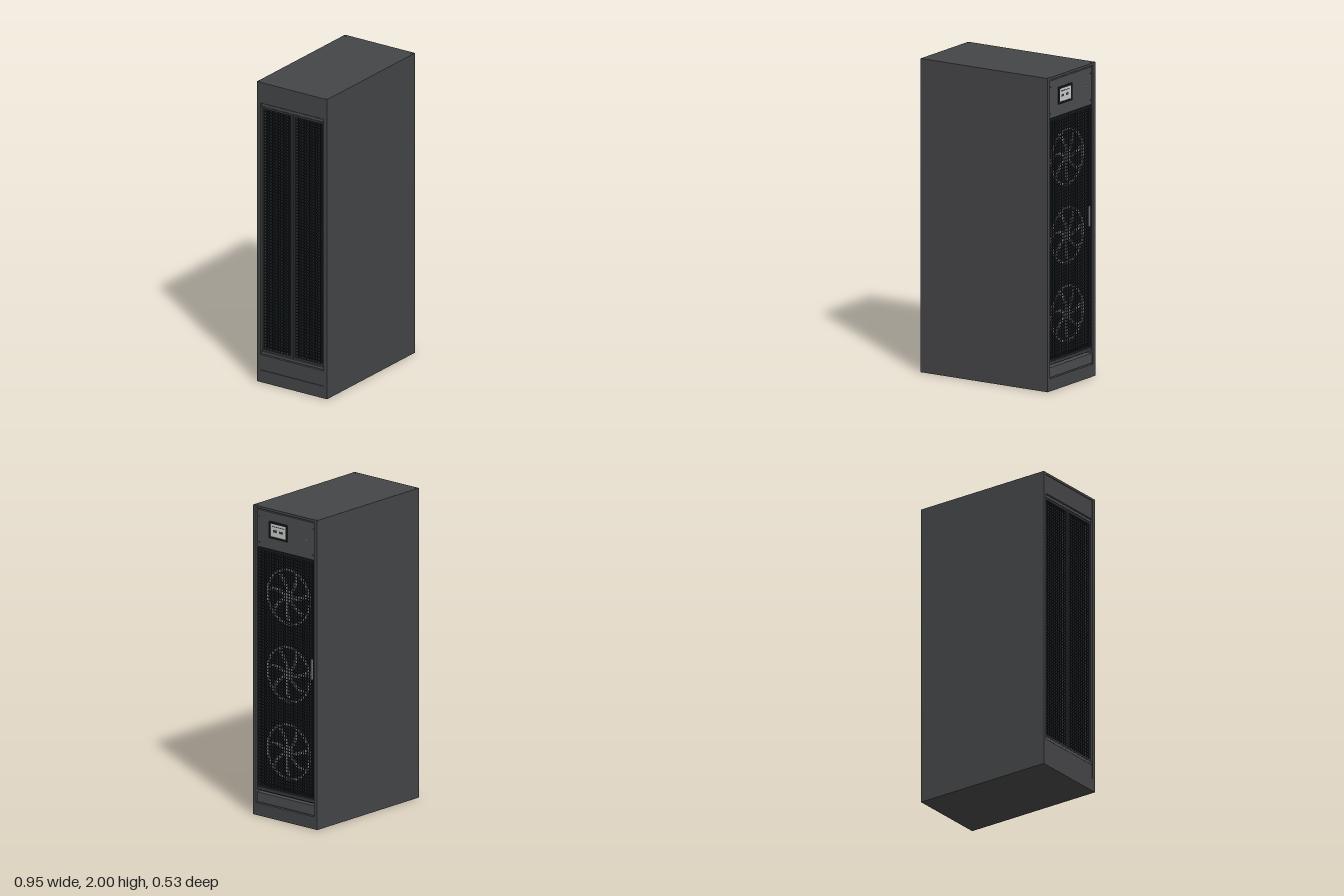
import * as THREE from 'three';
import { mergeGeometries } from 'three/addons/utils/BufferGeometryUtils.js';

const mat = (color) => new THREE.MeshStandardMaterial({ color });
const shell = mat(0x444547), panelGrey = mat(0x4b4d4f), trim = mat(0x36393b), dark = mat(0x1b2023);
const fanGrey = mat(0x85898c), bezelBlack = mat(0x14171a), screenWhite = mat(0xd4d7d8), metal = mat(0x9a9c9e);

function add(parent, name, geometry, material, x = 0, y = 0, z = 0) {
  const mesh = new THREE.Mesh(geometry, material);
  mesh.name = name;
  mesh.position.set(x, y, z);
  parent.add(mesh);
  return mesh;
}

// Box given by its limits on each axis
function block(parent, name, material, x0, x1, y0, y1, z0, z1) {
  return add(parent, name, new THREE.BoxGeometry(x1 - x0, y1 - y0, z1 - z0), material,
    (x0 + x1) / 2, (y0 + y1) / 2, (z0 + z1) / 2);
}

// Perforated sheet made of crossing bars
function grille(parent, name, x0, x1, y0, y1, z, pitch = 0.02, bar = 0.005) {
  const bars = [];
  const nx = Math.round((x1 - x0) / pitch), ny = Math.round((y1 - y0) / pitch);
  for (let i = 0; i <= nx; i++) {
    bars.push(new THREE.BoxGeometry(bar, y1 - y0, 0.003)
      .translate(x0 + (x1 - x0) * i / nx, (y0 + y1) / 2, z));
  }
  for (let j = 0; j <= ny; j++) {
    bars.push(new THREE.BoxGeometry(x1 - x0, bar, 0.003)
      .translate((x0 + x1) / 2, y0 + (y1 - y0) * j / ny, z));
  }
  add(parent, name, mergeGeometries(bars), dark);
}

// Rectangular frame of four bars
function frame(parent, name, material, x0, x1, y0, y1, z0, z1, w) {
  const shape = new THREE.Shape([[x0, y0], [x1, y0], [x1, y1], [x0, y1]].map((p) => new THREE.Vector2(...p)));
  shape.holes.push(new THREE.Path([[x0 + w, y0 + w], [x0 + w, y1 - w], [x1 - w, y1 - w], [x1 - w, y0 + w]]
    .map((p) => new THREE.Vector2(...p))));
  add(parent, name, new THREE.ExtrudeGeometry(shape, { depth: z1 - z0, bevelEnabled: false }), material, 0, 0, z0);
}

function createFan() {
  const fan = new THREE.Group();
  fan.name = 'fan';
  const ring = new THREE.Shape().absarc(0, 0, 0.183, 0, Math.PI * 2);
  ring.holes.push(new THREE.Path().absarc(0, 0, 0.166, 0, Math.PI * 2, true));
  add(fan, 'fanRing', new THREE.ExtrudeGeometry(ring, { depth: 0.008, bevelEnabled: false, curveSegments: 32 }), fanGrey);
  add(fan, 'fanHub', new THREE.CylinderGeometry(0.036, 0.038, 0.014, 32).rotateX(Math.PI / 2), fanGrey, 0, 0, 0.003);

  // Swept blade, wider at the tip
  const blade = new THREE.Shape();
  blade.moveTo(0.03, -0.01);
  blade.quadraticCurveTo(0.10, -0.008, 0.148, 0.024);
  blade.lineTo(0.152, 0.062);
  blade.quadraticCurveTo(0.10, 0.022, 0.03, 0.012);
  const bladeGeometry = new THREE.ExtrudeGeometry(blade, { depth: 0.004, bevelEnabled: false });
  for (let i = 0; i < 7; i++) {
    add(fan, 'fanBlade', bladeGeometry, fanGrey, 0, 0, 0.002).rotation.z = -0.04 + i * Math.PI * 2 / 7;
  }
  return fan;
}

// Fan end, built facing +z
function createFanEnd() {
  const end = new THREE.Group();
  end.name = 'fanEnd';
  block(end, 'fanBulkhead', dark, -0.24, 0.24, 0.08, 1.985, 0.42, 0.43);

  // Control panel with display, screws and lock
  block(end, 'controlPanel', panelGrey, -0.235, 0.235, 1.735, 1.975, 0.43, 0.467);
  frame(end, 'displayBezel', bezelBlack, -0.14, 0.012, 1.808, 1.918, 0.465, 0.473, 0.013);
  block(end, 'displayScreen', screenWhite, -0.127, -0.001, 1.821, 1.905, 0.465, 0.47);
  block(end, 'displayLine', trim, -0.112, -0.016, 1.885, 1.89, 0.47, 0.471);
  for (const x of [-0.092, -0.042]) {
    block(end, 'displayButton', trim, x - 0.014, x + 0.014, 1.851, 1.866, 0.47, 0.471);
  }
  const screw = new THREE.CylinderGeometry(0.005, 0.005, 0.003, 12).rotateX(Math.PI / 2);
  for (const x of [-0.222, 0.222]) {
    for (const y of [1.765, 1.935]) add(end, 'panelScrew', screw, trim, x, y, 0.468);
  }
  add(end, 'panelLock', screw, metal, 0.175, 1.86, 0.468);

  // Fans behind the perforated door
  for (const y of [0.445, 0.945, 1.445]) {
    const fan = createFan();
    fan.position.set(0, y, 0.438);
    end.add(fan);
  }
  frame(end, 'doorFrame', dark, -0.238, 0.238, 0.185, 1.73, 0.43, 0.464, 0.012);
  grille(end, 'doorMesh', -0.226, 0.226, 0.197, 1.718, 0.459);
  block(end, 'doorHandle', metal, 0.208, 0.217, 0.96, 1.09, 0.458, 0.472);

  // Lower rail and kick panel
  block(end, 'lowerRail', trim, -0.235, 0.235, 0.165, 0.185, 0.43, 0.467);
  block(end, 'kickPanel', panelGrey, -0.237, 0.237, 0.085, 0.148, 0.43, 0.467);
  return end;
}

// Double-door end, built facing +z
function createDoorEnd() {
  const end = new THREE.Group();
  end.name = 'doorEnd';
  block(end, 'doorBulkhead', dark, -0.24, 0.24, 0.08, 1.985, 0.42, 0.43);
  block(end, 'topPanel', shell, -0.24, 0.24, 1.86, 1.985, 0.43, 0.47);
  block(end, 'bottomPanel', shell, -0.24, 0.24, 0.08, 0.18, 0.43, 0.47);
  for (const y of [0.185, 1.838]) block(end, 'doorRail', panelGrey, -0.238, 0.238, y, y + 0.017, 0.43, 0.464);
  for (const s of [-1, 1]) {
    const x0 = s < 0 ? -0.235 : 0.003, x1 = x0 + 0.232;
    frame(end, 'doorLeafFrame', trim, x0, x1, 0.205, 1.835, 0.43, 0.462, 0.012);
    grille(end, 'doorLeafMesh', x0 + 0.012, x1 - 0.012, 0.217, 1.823, 0.457);
  }
  return end;
}

export function createModel() {
  const cabinet = new THREE.Group();
  cabinet.name = 'cabinet';

  // Outer shell
  block(cabinet, 'base', shell, -0.475, 0.475, 0, 0.08, -0.265, 0.265);
  block(cabinet, 'topCover', shell, -0.475, 0.475, 1.985, 2, -0.265, 0.265);
  for (const s of [-1, 1]) {
    const z = s * 0.2525;
    block(cabinet, 'sidePanel', shell, -0.475, 0.475, 0.08, 1.985, z - 0.0125, z + 0.0125);
    for (const x of [-0.465, 0.465]) {
      block(cabinet, 'cornerCap', trim, x - 0.009, x + 0.009, 1.99, 2.0005, s * 0.252 - 0.012, s * 0.252 + 0.012);
    }
  }

  const fanEnd = createFanEnd();
  fanEnd.rotation.y = Math.PI / 2;
  const doorEnd = createDoorEnd();
  doorEnd.rotation.y = -Math.PI / 2;
  cabinet.add(fanEnd, doorEnd);
  return cabinet;
}
